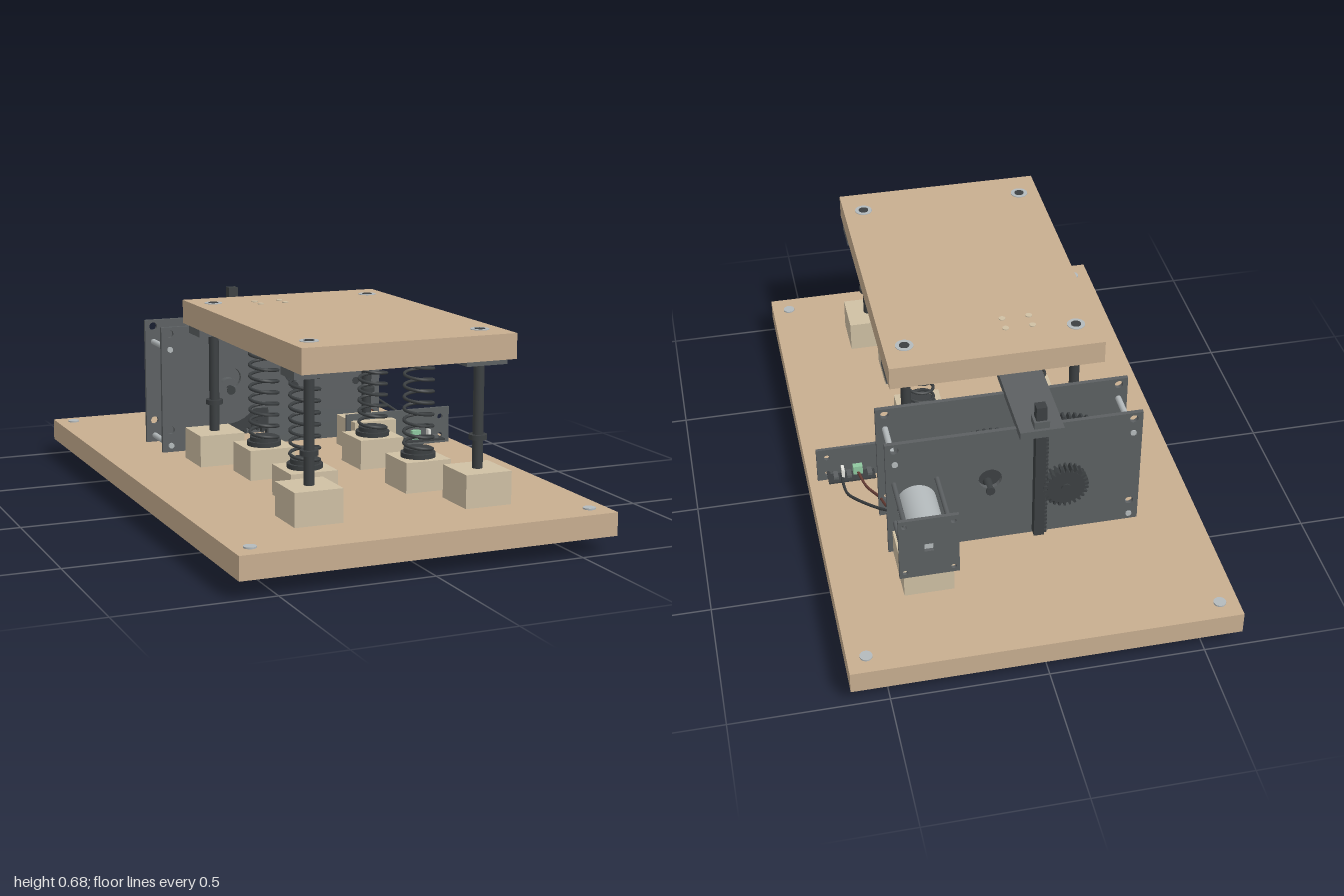
import * as THREE from 'three';

const mat = (color, side = THREE.FrontSide) => new THREE.MeshStandardMaterial({ color, side });
const wood = mat(0xc8ae90), paleWood = mat(0xcfc0a4), dark = mat(0x5c6062), black = mat(0x3c4042);
const metal = mat(0xb4babc), green = mat(0x8fc8a0), white = mat(0xe6e6e0), red = mat(0x6a4038);

export function createModel() {
  const root = new THREE.Group();
  const add = (name, geo, material, x = 0, y = 0, z = 0) => {
    const m = new THREE.Mesh(geo, material);
    m.name = name;
    m.position.set(x, y, z);
    root.add(m);
    return m;
  };
  // box given by its limits
  const box = (name, material, x0, x1, y0, y1, z0, z1) =>
    add(name, new THREE.BoxGeometry(x1 - x0, y1 - y0, z1 - z0), material,
      (x0 + x1) / 2, (y0 + y1) / 2, (z0 + z1) / 2);
  // upright cylinder from y0 to y1
  const post = (name, material, x, z, r, y0, y1, n = 20) =>
    add(name, new THREE.CylinderGeometry(r, r, y1 - y0, n), material, x, (y0 + y1) / 2, z);
  // cylinder along z from z0 to z1
  const axle = (name, material, x, y, r, z0, z1, n = 20) => {
    const m = add(name, new THREE.CylinderGeometry(r, r, z1 - z0, n), material, x, y, (z0 + z1) / 2);
    m.rotation.x = Math.PI / 2;
    return m;
  };
  const extrude = (shape, depth) =>
    new THREE.ExtrudeGeometry(shape, { depth, bevelEnabled: false, curveSegments: 10 });
  // upright sheet with round holes [x, y, r] and rectangular cutouts [x0, y0, x1, y1]
  const sheet = (name, outline, z, depth, holes, cuts = []) => {
    const s = new THREE.Shape(outline.map(([x, y]) => new THREE.Vector2(x, y)));
    for (const [x, y, r] of holes) s.holes.push(new THREE.Path().absarc(x, y, r, 0, Math.PI * 2, true));
    for (const [x0, y0, x1, y1] of cuts)
      s.holes.push(new THREE.Path([[x0, y0], [x0, y1], [x1, y1], [x1, y0]].map(p => new THREE.Vector2(...p))));
    return add(name, extrude(s, depth), dark, 0, 0, z);
  };
  const rect = (x0, y0, x1, y1) => [[x0, y0], [x1, y0], [x1, y1], [x0, y1]];
  // toothed wheel facing z
  const gear = (name, x, y, r, teeth, z0, z1) => {
    const pts = [], h = Math.min(0.014, r * 0.2);
    for (let i = 0; i < teeth; i++)
      for (const [f, q] of [[0, r - h], [0.3, r - h], [0.45, r], [0.8, r]]) {
        const a = (i + f) / teeth * Math.PI * 2;
        pts.push(new THREE.Vector2(Math.cos(a) * q, Math.sin(a) * q));
      }
    return add(name, extrude(new THREE.Shape(pts), z1 - z0), black, x, y, z0);
  };
  const tube = (name, pts, r, material, n = 30) =>
    add(name, new THREE.TubeGeometry(new THREE.CatmullRomCurve3(pts), n, r, 6), material);

  // boards
  box('baseBoard', wood, -0.62, 0.62, 0.06, 0.135, -1, 1);
  box('topBoard', wood, -0.355, 0.355, 0.6, 0.68, -0.24, 0.82);
  for (const x of [-0.1, -0.1].map((c, i) => c + (i ? 0.045 : -0.045)))
    for (const z of [-0.1, -0.045]) post('topScrew', paleWood, x, z, 0.011, 0.675, 0.683);
  for (const x of [-0.56, 0.56])
    for (const z of [-0.935, 0.93]) post('baseScrew', metal, x, z, 0.02, 0.13, 0.14);

  for (const s of [-1, 1]) {
    // guide posts with block, collar and flange
    for (const z of [0.71, -0.125]) {
      const x = s * 0.285;
      box('postBlock', paleWood, x - 0.079, x + 0.079, 0.135, 0.242, z - 0.079, z + 0.079);
      post('guidePost', black, x, z, 0.017, 0.004, 0.683);
      post('postCollar', black, x, z, 0.029, 0.334, 0.35);
      post('postBushing', metal, x, z, 0.03, 0.67, 0.682);
      box('postFlange', dark, x - 0.07, x + 0.07, 0.575, 0.6, z - 0.053, z + 0.053);
    }
    // springs on their blocks
    for (const z of [0.468, 0.117]) {
      const x = s * 0.198, turns = 9, pts = [];
      box('springBlock', paleWood, x - 0.079, x + 0.079, 0.135, 0.235, z - 0.079, z + 0.079);
      post('springSeat', black, x, z, 0.057, 0.235, 0.25, 28);
      post('springCup', black, x, z, 0.047, 0.25, 0.264, 28);
      for (let i = 0; i <= turns * 12; i++) {
        const a = i / 12 * Math.PI * 2;
        pts.push(new THREE.Vector3(x + Math.cos(a) * 0.047, 0.258 + 0.338 * i / (turns * 12), z + Math.sin(a) * 0.047));
      }
      tube('spring', pts, 0.0055, black, turns * 24);
    }
  }

  // gearbox side plates and spacer rods
  const corners = [];
  for (const x of [-0.385, 0.385])
    for (const [y, r] of [[0.555, 0.014], [0.5, 0.01], [0.215, 0.014], [0.16, 0.01]]) corners.push([x, y, r]);
  const outline = rect(-0.415, 0.137, 0.415, 0.578);
  sheet('frontGearPlate', outline, -0.311, 0.014,
    [...corners, [-0.16, 0.384, 0.037], [0.08, 0.388, 0.038]], [[-0.2, 0.15, -0.02, 0.268]]);
  sheet('backGearPlate', outline, -0.493, 0.014, [...corners, [0.08, 0.388, 0.038]]);
  for (const x of [-0.385, 0.385])
    for (const y of [0.5, 0.16]) axle('spacerRod', metal, x, y, 0.01, -0.498, -0.29, 12);

  // gear train
  const ay = 0.34;
  axle('outputShaft', black, -0.16, ay, 0.016, -0.535, -0.295);
  gear('outputWheel', -0.16, ay, 0.205, 60, -0.425, -0.4);
  axle('outputHub', black, -0.16, ay, 0.12, -0.4, -0.36, 36);
  axle('outputHubStep', dark, -0.16, ay, 0.13, -0.358, -0.34, 36);
  axle('outputBoss', dark, -0.16, ay, 0.04, -0.34, -0.311);
  axle('middleShaft', black, 0.08, ay, 0.015, -0.5, -0.294);
  gear('middleWheel', 0.08, ay, 0.205, 60, -0.447, -0.43);
  gear('middlePinion', 0.08, ay, 0.046, 14, -0.43, -0.39);
  axle('middleCollar', black, 0.08, ay, 0.032, -0.375, -0.355);
  axle('motorShaft', black, 0.32, ay, 0.013, -0.46, -0.294);
  gear('motorPinion', 0.32, ay, 0.038, 12, -0.452, -0.42);
  axle('motorCollar', black, 0.32, ay, 0.02, -0.41, -0.38);

  // rack and lifting arm
  gear('rackPinion', -0.16, ay, 0.076, 26, -0.53, -0.496);
  box('rack', black, -0.092, -0.058, 0.15, 0.675, -0.528, -0.496);
  for (let i = 0; i < 26; i++) {
    const y = 0.16 + i * 0.0165;
    box('rackTooth', black, -0.1, -0.09, y, y + 0.008, -0.528, -0.496);
  }
  box('liftArm', dark, -0.145, -0.003, 0.572, 0.6, -0.545, 0.05);
  box('rackClamp', dark, -0.1, -0.05, 0.6, 0.625, -0.535, -0.49);

  // motor with its mount
  axle('motorBody', metal, 0.32, ay, 0.064, -0.7, -0.46, 36);
  axle('motorNose', metal, 0.32, ay, 0.03, -0.46, -0.445);
  sheet('motorPlate', rect(0.225, 0.225, 0.415, 0.457), -0.716, 0.012,
    [[0.243, 0.435, 0.009], [0.397, 0.435, 0.009], [0.243, 0.247, 0.009], [0.397, 0.247, 0.009]],
    [[0.305, 0.325, 0.335, 0.355]]);
  for (const x of [0.252, 0.39])
    for (const y of [0.26, 0.42]) axle('motorRod', dark, x, y, 0.008, -0.71, -0.485, 10);
  box('motorBlock', paleWood, 0.24, 0.4, 0.135, 0.225, -0.7, -0.488);

  // circuit board and its upright holder
  sheet('boardHolder', rect(0.19, 0.022, 0.59, 0.264), -0.092, 0.011,
    [[0.555, 0.23, 0.01], [0.555, 0.162, 0.01], [0.555, 0.055, 0.01], [0.225, 0.055, 0.01]]);
  box('circuitBoard', black, 0.397, 0.557, 0.152, 0.158, -0.138, -0.043);
  box('greenTerminal', green, 0.438, 0.47, 0.158, 0.19, -0.112, -0.062);
  box('whiteConnector', white, 0.5, 0.51, 0.158, 0.19, -0.12, -0.06);
  for (const x of [0.415, 0.485, 0.53]) box('boardChip', dark, x - 0.008, x + 0.008, 0.158, 0.168, -0.125, -0.055);

  // motor leads
  const lead = (name, pts, m) => tube(name, pts.map(p => new THREE.Vector3(...p)), 0.005, m);
  lead('darkLead', [[0.37, 0.32, -0.5], [0.41, 0.28, -0.45], [0.5, 0.2, -0.27], [0.51, 0.17, -0.2], [0.51, 0.158, -0.12], [0.5, 0.156, -0.05]], black);
  lead('redLead', [[0.37, 0.3, -0.49], [0.4, 0.25, -0.4], [0.41, 0.2, -0.29], [0.44, 0.17, -0.19], [0.455, 0.165, -0.1]], red);

  return root;
}
